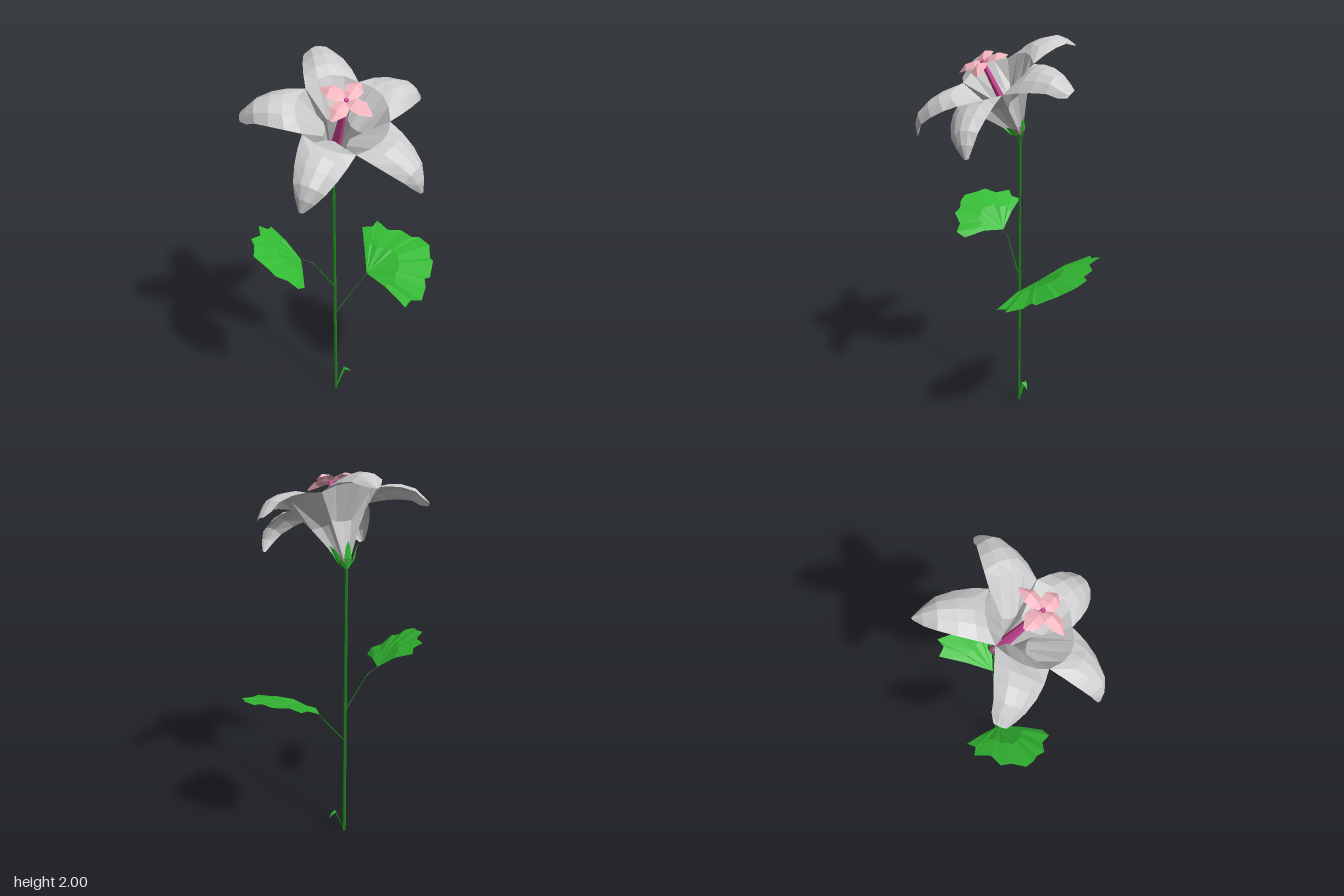
import * as THREE from 'three';

const mat = (color) => new THREE.MeshStandardMaterial({ color, flatShading: true, side: THREE.DoubleSide });
const GREY = mat(0xcccccc), GREEN = mat(0x33bb33), STEM = mat(0x1f7f1f), PINK = mat(0xf4b4be), MAGENTA = mat(0xd84a9c);

// Faceted sheet through rows of [x, y, z] points, all rows of equal length
function sheet(rows) {
  const n = rows[0].length, index = [];
  for (let i = 0; i < rows.length - 1; i++) {
    for (let j = 0; j < n - 1; j++) {
      const a = i * n + j, b = a + n;
      index.push(a, a + 1, b, a + 1, b + 1, b);
    }
  }
  const g = new THREE.BufferGeometry();
  g.setAttribute('position', new THREE.Float32BufferAttribute(rows.flat(2), 3));
  g.setIndex(index);
  const flat = g.toNonIndexed();
  flat.computeVertexNormals();
  return flat;
}

function add(parent, name, geometry, material) {
  const m = new THREE.Mesh(geometry, material);
  m.name = name;
  parent.add(m);
  return m;
}

// Petal pointing to -z; each row is [radius, height, half width, edge drop, edge setback]
function petalGeometry(profile, columns) {
  return sheet(profile.map(([r, h, w, drop, back]) =>
    columns.map((s) => [w * s, h - drop * s * s, -(r - back * s * s)])));
}

// Tapered rod between two points
function rod(parent, name, a, b, r0, r1, sides, material) {
  const from = new THREE.Vector3(...a), dir = new THREE.Vector3(...b).sub(from);
  const g = new THREE.CylinderGeometry(r1, r0, dir.length(), sides);
  const m = add(parent, name, g, material);
  m.position.copy(from).addScaledVector(dir, 0.5);
  m.quaternion.setFromUnitVectors(new THREE.Vector3(0, 1, 0), dir.normalize());
}

// Fan leaf: a toothed outline [x, z] spread from a base point on a sloping, domed plane
function leafGeometry([bx, by, bz], outline, slopeX, slopeZ, dome) {
  const ring = (t) => outline.map(([x, z], i) => {
    const dx = (x - bx) * t, dz = (z - bz) * t;
    const side = Math.sin((i / (outline.length - 1)) * Math.PI);
    const pleat = (i % 2 ? 0.004 : -0.003) * t;
    const lift = dome * (0.6 + 0.4 * side) * Math.sin(t * 2.4) + pleat;
    return [bx + dx, by + dx * slopeX + dz * slopeZ + lift, bz + dz];
  });
  return sheet([0, 0.5, 1].map(ring));
}

// Funnel wall folded inward at mid height, then a limb arching outward
function flowerPetal(reach, tipWidth, tipHeight) {
  const limb = (r) => 0.27 + (r - 0.27) * reach;
  return petalGeometry([
    [0.012, 0, 0.007, 0, 0.002],
    [0.062, 0.2, 0.078, 0, -0.045],
    [0.215, 0.333, 0.125, 0.02, 0.042],
    [0.27, 0.348, 0.115, 0.036, 0.02],
    [limb(0.337), 0.34, 0.098, 0.04, 0.01],
    [limb(0.41), 0.31, 0.073, 0.034, 0.012],
    [limb(0.452), 0.262, 0.04 + tipWidth / 2, 0.022, 0.015],
    [limb(0.477), tipHeight, tipWidth, 0.004, 0.006],
  ], [-1, -0.5, 0, 0.5, 1]);
}

function createFlower() {
  const flower = new THREE.Group();
  flower.name = 'flower';

  // Five petals: one at the top, blunter pairs at the sides and bottom
  const top = flowerPetal(1, 0.006, 0.215);
  const side = flowerPetal(0.88, 0.03, 0.225);
  const bottom = flowerPetal(1, 0.012, 0.202);
  // Green leaflets hugging the funnel base
  const sepal = petalGeometry([
    [0.008, -0.015, 0.008, 0, 0.002],
    [0.045, 0.025, 0.02, 0, 0.01],
    [0.062, 0.07, 0.013, 0, 0.005],
    [0.08, 0.098, 0.001, 0, 0],
  ], [-1, 0, 1]);
  [top, side, bottom, bottom, side].forEach((petal, k) => {
    const angle = (k * Math.PI * 2) / 5;
    add(flower, 'petal', petal, GREY).rotation.y = angle;
    add(flower, 'sepal', sepal, GREEN).rotation.y = angle;
  });

  // Central style with a four-lobed pink stigma
  rod(flower, 'style', [0, 0.01, 0], [0, 0.425, 0], 0.028, 0.011, 6, MAGENTA);
  const lobe = petalGeometry([
    [0.004, 0.416, 0.003, 0, 0],
    [0.038, 0.434, 0.036, 0.014, 0.002],
    [0.085, 0.436, 0.041, 0.016, 0.006],
    [0.13, 0.41, 0.008, 0.002, 0.002],
  ], [-1, 0, 1]);
  for (let k = 0; k < 4; k++) {
    add(flower, 'stigmaLobe', lobe, PINK).rotation.y = Math.PI / 4 + (k * Math.PI) / 2;
  }
  return flower;
}

export function createModel() {
  const plant = new THREE.Group();
  plant.name = 'floweringPlant';
  const X = -0.05, Z = -0.073;

  // Stem
  rod(plant, 'stem', [X, 0, Z], [X, 1.54, Z], 0.009, 0.008, 6, STEM);

  // Flower head, nodding forward
  const flower = createFlower();
  flower.position.set(X, 1.53, Z);
  flower.rotation.x = THREE.MathUtils.degToRad(29);
  plant.add(flower);

  // Left leaf and stalk
  rod(plant, 'leftLeafStalk', [X, 0.57, Z], [0.135, 0.805, Z], 0.0035, 0.0015, 4, STEM);
  add(plant, 'leftLeaf', leafGeometry([0.13, 0.8, Z], [
    [0.2, -0.35], [0.25, -0.32], [0.29, -0.35], [0.32, -0.26], [0.39, -0.23], [0.42, -0.16],
    [0.46, -0.15], [0.49, -0.07], [0.465, 0], [0.47, 0.03], [0.42, 0.11], [0.39, 0.11],
    [0.38, 0.15], [0.33, 0.22], [0.28, 0.19], [0.24, 0.22],
  ], 0.2, -0.3, 0.05), GREEN);

  // Right leaf and its bent stalk
  rod(plant, 'rightLeafStalk', [X, 0.75, Z], [-0.17, 0.935, Z], 0.0035, 0.002, 4, STEM);
  rod(plant, 'rightLeafStalk', [-0.17, 0.935, Z], [-0.235, 0.975, Z], 0.002, 0.001, 4, STEM);
  add(plant, 'rightLeaf', leafGeometry([-0.23, 0.97, Z], [
    [-0.27, 0.14], [-0.31, 0.17], [-0.35, 0.13], [-0.41, 0.13], [-0.43, 0.09], [-0.46, 0.07],
    [-0.49, 0.03], [-0.47, -0.04], [-0.475, -0.09], [-0.42, -0.13], [-0.41, -0.21],
    [-0.365, -0.2], [-0.34, -0.24],
  ], -0.55, -0.27, 0.045), GREEN);

  // Two narrow folded shoots at the foot: one upright, one leaning with a curled tip
  const blade = (points) => sheet(points.map(([x, y, w]) =>
    [[x, y, Z - w], [x + w * 0.6, y, Z], [x, y, Z + w]]));
  add(plant, 'uprightShoot', blade([[X, 0, 0.003], [-0.045, 0.09, 0.007], [-0.041, 0.18, 0.001]]), STEM);
  add(plant, 'leaningShoot', blade([
    [X, 0, 0.004], [-0.025, 0.07, 0.009], [0.002, 0.142, 0.013], [0.022, 0.128, 0.01], [0.038, 0.108, 0.002],
  ]), GREEN);

  return plant;
}
